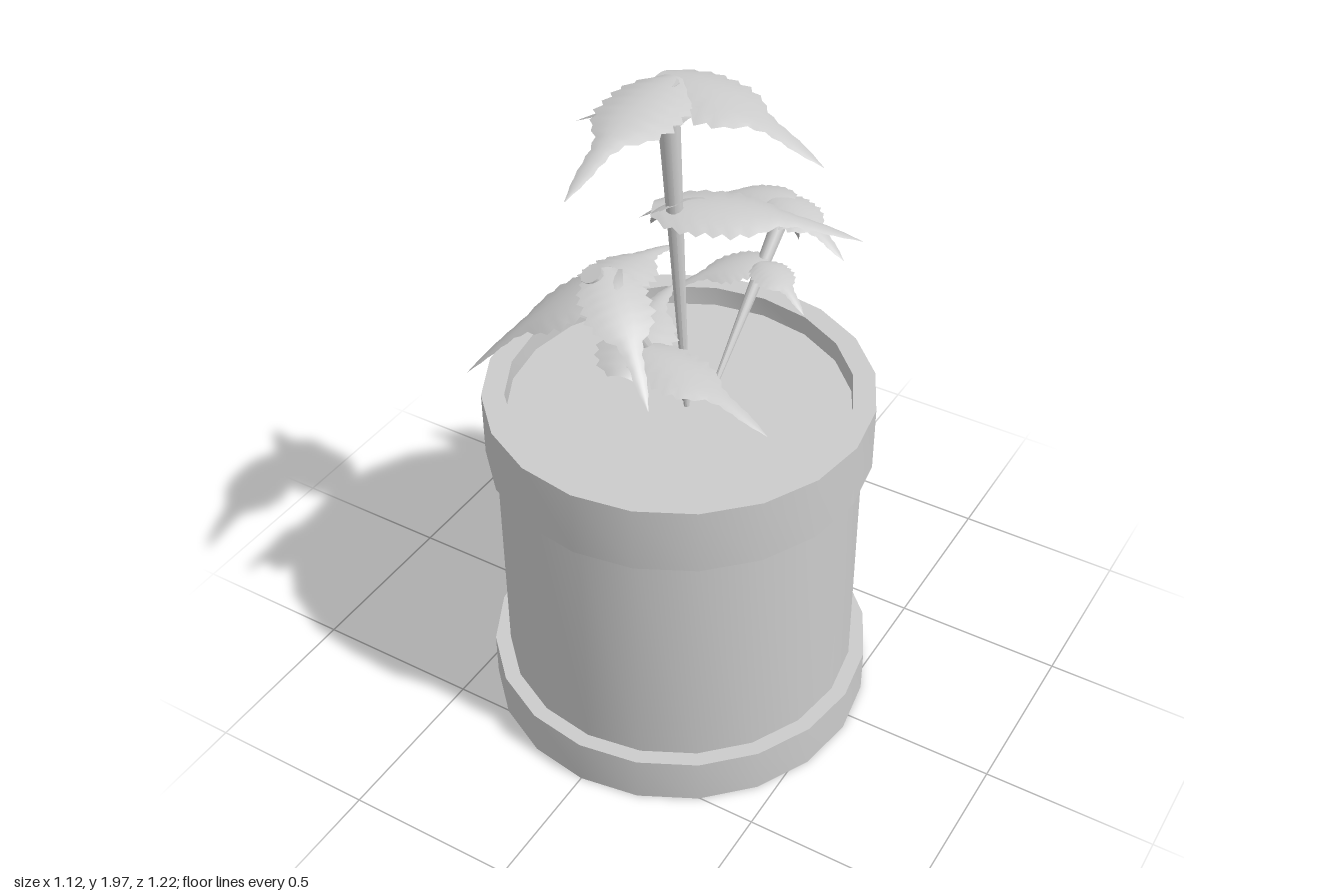
import * as THREE from 'three';
import { toCreasedNormals } from 'three/addons/utils/BufferGeometryUtils.js';

const mat = new THREE.MeshStandardMaterial({ color: 0xcccccc });
const leafMat = new THREE.MeshStandardMaterial({ color: 0xcccccc, side: THREE.DoubleSide });
const V = (a) => new THREE.Vector3(...a);

// Half-width of a leaf along its length: broad blade, then a long narrow tip
const PROFILE = [[0, 0.35], [0.08, 0.75], [0.2, 1], [0.42, 1], [0.54, 0.78], [0.62, 0.42], [0.7, 0.27], [0.88, 0.17], [1, 0.01]];
function halfWidth(t) {
  for (let i = 1; i < PROFILE.length; i++) {
    const [t0, w0] = PROFILE[i - 1], [t1, w1] = PROFILE[i];
    if (t <= t1) return THREE.MathUtils.lerp(w0, w1, (t - t0) / (t1 - t0));
  }
  return 0;
}

// Arched leaf with toothed edges that droop to either side of the midrib
function leafGeometry(base, tip, arch, width) {
  const a = V(base), c = V(tip);
  const b = a.clone().lerp(c, 0.45);
  b.y += arch;
  const rib = new THREE.QuadraticBezierCurve3(a, b, c);
  const side = new THREE.Vector3(c.z - a.z, 0, a.x - c.x).normalize();
  const rows = 24, cols = 6, pos = [], idx = [];
  for (let i = 0; i <= rows; i++) {
    const t = i / rows, p = rib.getPoint(t);
    const w = width * halfWidth(t) * (i % 2 ? 0.9 : 1.06);
    for (let j = 0; j <= cols; j++) {
      const s = (j / cols) * 2 - 1;
      const q = p.clone().addScaledVector(side, s * w);
      q.y -= 0.25 * s * s * w;
      pos.push(q.x, q.y, q.z);
      if (i < rows && j < cols) {
        const k = i * (cols + 1) + j, n = k + cols + 1;
        idx.push(k, n, k + 1, k + 1, n, n + 1);
      }
    }
  }
  const g = new THREE.BufferGeometry();
  g.setAttribute('position', new THREE.Float32BufferAttribute(pos, 3));
  g.setIndex(idx);
  g.computeVertexNormals();
  return g;
}

// Stem that thickens towards its upper end
function stemMesh(from, to, r0, r1) {
  const a = V(from), b = V(to), d = b.clone().sub(a);
  const m = new THREE.Mesh(toCreasedNormals(new THREE.CylinderGeometry(r1, r0, d.length(), 10), 0.9), mat);
  m.position.copy(a).add(b).multiplyScalar(0.5);
  m.quaternion.setFromUnitVectors(new THREE.Vector3(0, 1, 0), d.normalize());
  m.name = 'stem';
  return m;
}

// Each leaf: base, tip, arch height, half-width
const PLANTS = [
  {
    name: 'tallPlant', stem: [[0.025, 1, 0.055], [-0.04, 1.97, 0.04], 0.008, 0.032],
    leaves: [
      [[-0.04, 1.97, 0], [-0.04, 1.87, 0.5], 0.07, 0.11],
      [[-0.09, 1.96, -0.01], [0.4, 1.86, 0.04], 0.08, 0.115],
      [[0.02, 1.88, 0.02], [-0.41, 1.69, -0.1], 0.07, 0.1],
      [[-0.08, 1.61, 0.05], [0.42, 1.54, -0.17], 0.08, 0.11],
      [[0.02, 1.65, 0.04], [-0.18, 1.44, -0.1], 0.05, 0.09],
    ],
  },
  {
    name: 'frontPlant', stem: [[0.02, 1, 0.04], [-0.11, 1.53, 0.3], 0.008, 0.03],
    leaves: [
      [[-0.04, 1.53, 0.26], [-0.38, 1.24, 0.49], 0.09, 0.1],
      [[-0.1, 1.53, 0.26], [0.18, 1.34, 0.5], 0.08, 0.09],
      [[-0.11, 1.48, 0.3], [-0.1, 1.4, -0.1], 0.05, 0.09],
      [[-0.06, 1.25, 0.18], [0.38, 1.17, 0.25], 0.06, 0.09],
      [[-0.05, 1.21, 0.27], [-0.15, 1.21, -0.17], 0.09, 0.1],
    ],
  },
  {
    name: 'backPlant', stem: [[0.05, 1, -0.05], [0.05, 1.39, -0.46], 0.007, 0.025],
    leaves: [
      [[0.04, 1.39, -0.4], [0.015, 1.17, -0.61], 0.12, 0.07],
      [[0.08, 1.42, -0.45], [-0.2, 1.36, -0.38], 0.05, 0.06],
      [[0.02, 1.42, -0.42], [0.29, 1.34, -0.34], 0.06, 0.08],
      [[0.06, 1.28, -0.33], [-0.17, 1.18, -0.16], 0.05, 0.07],
      [[0.05, 1.28, -0.3], [0.24, 1.22, -0.21], 0.05, 0.06],
    ],
  },
];

export function createModel() {
  const model = new THREE.Group();
  const potZ = 0.05, sides = 20;

  // Pot: foot ring, wall, rim, recessed soil
  const outline = [[0, 0], [0.56, 0], [0.56, 0.14], [0.515, 0.14], [0.515, 0.865], [0.543, 0.865], [0.543, 1.06], [0.48, 1.06], [0.48, 0.99]];
  const potGeo = new THREE.LatheGeometry(outline.map(([r, y]) => new THREE.Vector2(r, y)), sides);
  const pot = new THREE.Mesh(toCreasedNormals(potGeo, 0.6), mat);
  pot.name = 'pot';
  pot.position.z = potZ;
  model.add(pot);

  const soilGeo = new THREE.LatheGeometry([new THREE.Vector2(0.48, 1), new THREE.Vector2(0, 1)], sides);
  const soil = new THREE.Mesh(soilGeo, mat);
  soil.name = 'soil';
  soil.position.z = potZ;
  model.add(soil);

  // Three plants growing out of the soil
  for (const { name, stem, leaves } of PLANTS) {
    const plant = new THREE.Group();
    plant.name = name;
    plant.add(stemMesh(...stem));
    for (const spec of leaves) {
      const leaf = new THREE.Mesh(leafGeometry(...spec), leafMat);
      leaf.name = 'leaf';
      plant.add(leaf);
    }
    model.add(plant);
  }
  return model;
}
